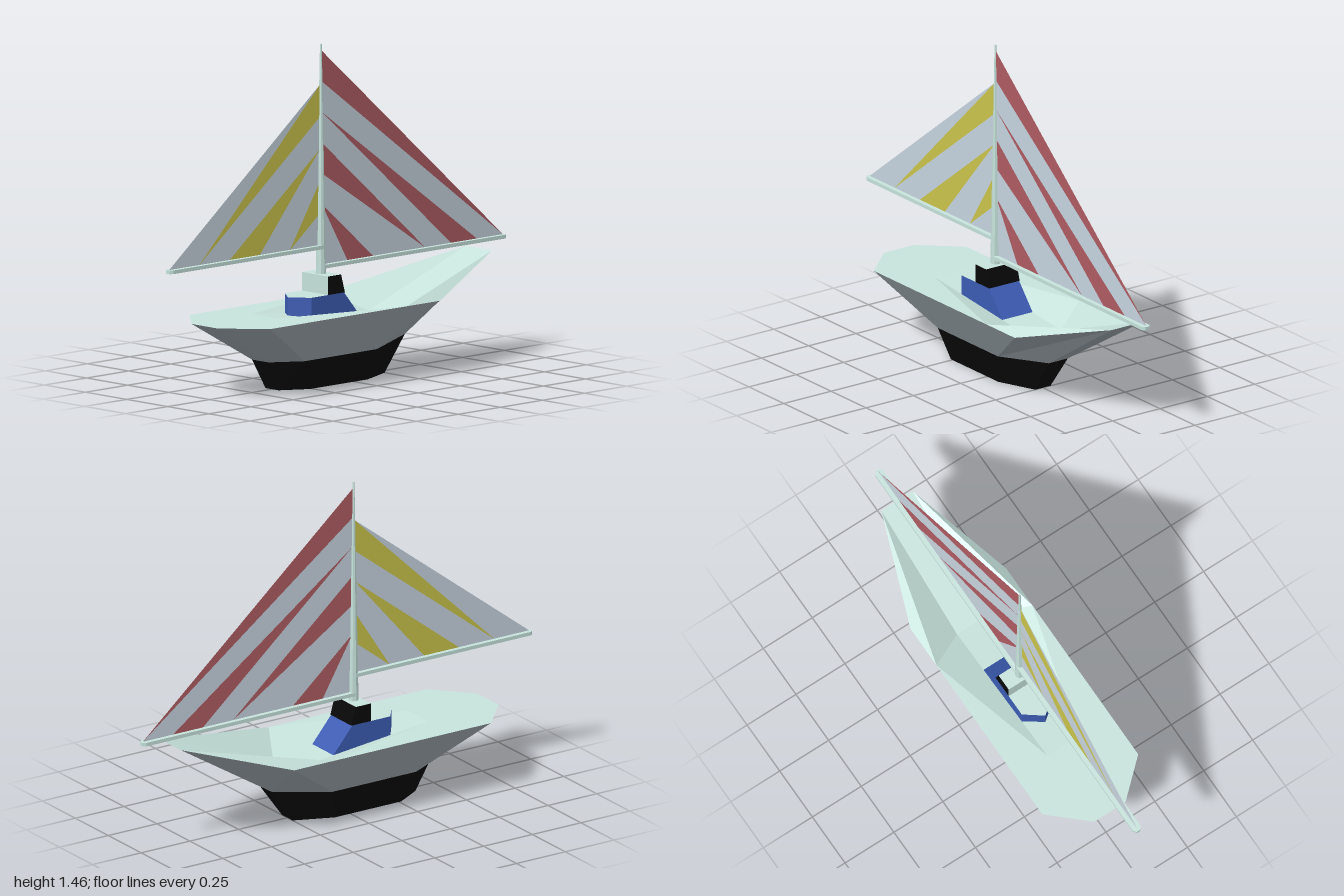
import * as THREE from 'three';

const material = (color, side = THREE.FrontSide) =>
  new THREE.MeshStandardMaterial({ color, flatShading: true, side });

const MINT = material(0xc6e2db);
const GREY = material(0x949ea4);
const BLACK = material(0x080808);
const BLUE = material(0x3c5cb4);

// Mesh from convex polygons, each a counter-clockwise list of [x, y, z]
function polygons(name, faces, mat) {
  const pos = [];
  for (const f of faces)
    for (let i = 1; i < f.length - 1; i++) pos.push(...f[0], ...f[i], ...f[i + 1]);
  const geo = new THREE.BufferGeometry();
  geo.setAttribute('position', new THREE.Float32BufferAttribute(pos, 3));
  geo.computeVertexNormals();
  const mesh = new THREE.Mesh(geo, mat);
  mesh.name = name;
  return mesh;
}

// Mirrors the +x half of a ring (front to back) into a closed ring
const ring = (half) => [
  ...half,
  ...half.filter(p => p[0] > 0).reverse().map(([x, y, z]) => [-x, y, z]),
];

// Side faces between a lower and an upper ring
const walls = (a, b) => a.map((p, i) => {
  const j = (i + 1) % a.length;
  return [p, a[j], b[j], b[i]];
});

function hull() {
  const g = new THREE.Group();
  g.name = 'hull';
  const bottom = ring([[0.04, 0, 0.38], [0.11, 0, 0.26], [0.11, 0, -0.08], [0.04, 0, -0.25]]);
  const middle = ring([[0.05, 0.13, 0.45], [0.135, 0.13, 0.32], [0.135, 0.13, -0.11], [0.05, 0.155, -0.36]]);
  const rim = ring([[0.08, 0.32, 0.78], [0.245, 0.32, 0.63], [0.245, 0.32, -0.38], [0.08, 0.46, -0.85]]);
  g.add(polygons('keel', walls(bottom, middle), BLACK));
  g.add(polygons('keelBottom', [[...bottom].reverse()], GREY));
  g.add(polygons('hullSides', walls(middle, rim), GREY));

  // Deck: level at one end, dipping in the middle, rising to the other end
  const tip = rim[3], corner = rim[2];
  const edge = [0.245, 0.32, -0.18], low = [0.08, 0.25, -0.27];
  const edgeFront = [0.245, 0.32, 0.42], midFront = [0.08, 0.32, 0.42];
  const flip = ([x, y, z]) => [-x, y, z];
  const half = [
    [rim[0], rim[1], edgeFront, midFront],
    [midFront, edgeFront, edge], [midFront, edge, low],
    [edge, corner, tip], [edge, tip, low],
  ];
  const centre = [[rim[0], midFront], [midFront, low], [low, tip]]
    .map(([a, b]) => [flip(a), a, b, flip(b)]);
  const mirrored = half.map(f => f.map(flip).reverse());
  g.add(polygons('deck', [...half, ...mirrored, ...centre], MINT));
  return g;
}

function cabin() {
  const g = new THREE.Group();
  g.name = 'cabin';
  // Lower cabin with pointed front and sloping back
  const plan = (y, back) => ring([[0, y, 0.285], [0.08, y, 0.225], [0.08, y, back]]);
  const top = plan(0.385, 0.03);
  g.add(polygons('cabinWalls', walls(plan(0.25, -0.085), top), BLUE));
  g.add(polygons('cabinRoof', [top], MINT));
  // Wheelhouse: dark sides and back, pale front and roof
  const box = (y, back) => ring([[0.08, y, 0.125], [0.08, y, back]]);
  const roof = box(0.465, 0.048);
  const sides = walls(box(0.385, 0.025), roof);
  g.add(polygons('wheelhouseWalls', sides.slice(0, 3), BLACK));
  g.add(polygons('wheelhouseFrontAndRoof', [sides[3], roof], MINT));
  return g;
}

// Sail of alternating bands; each divider joins a step on the mast to one on the boom
function sail(name, peak, foot, mastZ, endZ, steps, dividers, colors) {
  const g = new THREE.Group();
  g.name = name;
  const mast = i => [0, THREE.MathUtils.lerp(peak, foot, i / steps), mastZ];
  const boom = i => [0, foot, THREE.MathUtils.lerp(endZ, mastZ, i / steps)];
  const bands = [[], []];
  for (let i = 0; i < dividers.length - 1; i++) {
    const [m0, b0] = dividers[i], [m1, b1] = dividers[i + 1];
    const face = [mast(m0), boom(b0)];
    if (b1 !== b0) face.push(boom(b1));
    if (m1 !== m0) face.push(mast(m1));
    bands[i % 2].push(face);
  }
  bands.forEach((faces, i) =>
    g.add(polygons(name + (i ? 'OddBands' : 'EvenBands'), faces, material(colors[i], THREE.DoubleSide))));
  return g;
}

// Flat spar with a tapered outer end
function spar(name, y, z0, z1) {
  const s = Math.sign(z1 - z0), w = 0.02;
  const shape = new THREE.Shape([
    [-w, z0], [w, z0], [w, z1 - s * 0.015], [w / 2, z1], [-w / 2, z1], [-w, z1 - s * 0.015],
  ].map(([x, z]) => new THREE.Vector2(x, -z)));
  const geo = new THREE.ExtrudeGeometry(shape, { depth: 0.016, bevelEnabled: false });
  geo.rotateX(-Math.PI / 2).translate(0, y - 0.008, 0);
  const mesh = new THREE.Mesh(geo, MINT);
  mesh.name = name;
  return mesh;
}

export function createModel() {
  const model = new THREE.Group();
  model.name = 'sailboat';
  model.add(hull(), cabin());

  const mast = new THREE.Mesh(new THREE.CylinderGeometry(0.004, 0.022, 1.0, 8), MINT);
  mast.name = 'mast';
  mast.position.set(0, 0.955, 0.09);
  model.add(mast);

  model.add(spar('frontBoom', 0.58, 0.09, 1), spar('backBoom', 0.495, 0.09, -1));

  const white = 0xc6d3de;
  model.add(sail('frontSail', 1.28, 0.585, 0.095, 0.995, 5,
    [[0, 0], [0, 1], [1, 1], [2, 2], [2, 3], [3, 4], [4, 4], [5, 5]], [white, 0xc9c34a]));
  model.add(sail('backSail', 1.425, 0.5, 0.085, -0.995, 7,
    [[0, 0], [1, 0], [2, 1], [2, 2], [3, 3], [4, 3], [5, 5], [5, 6], [7, 7]], [0xae5c62, white]));
  return model;
}
